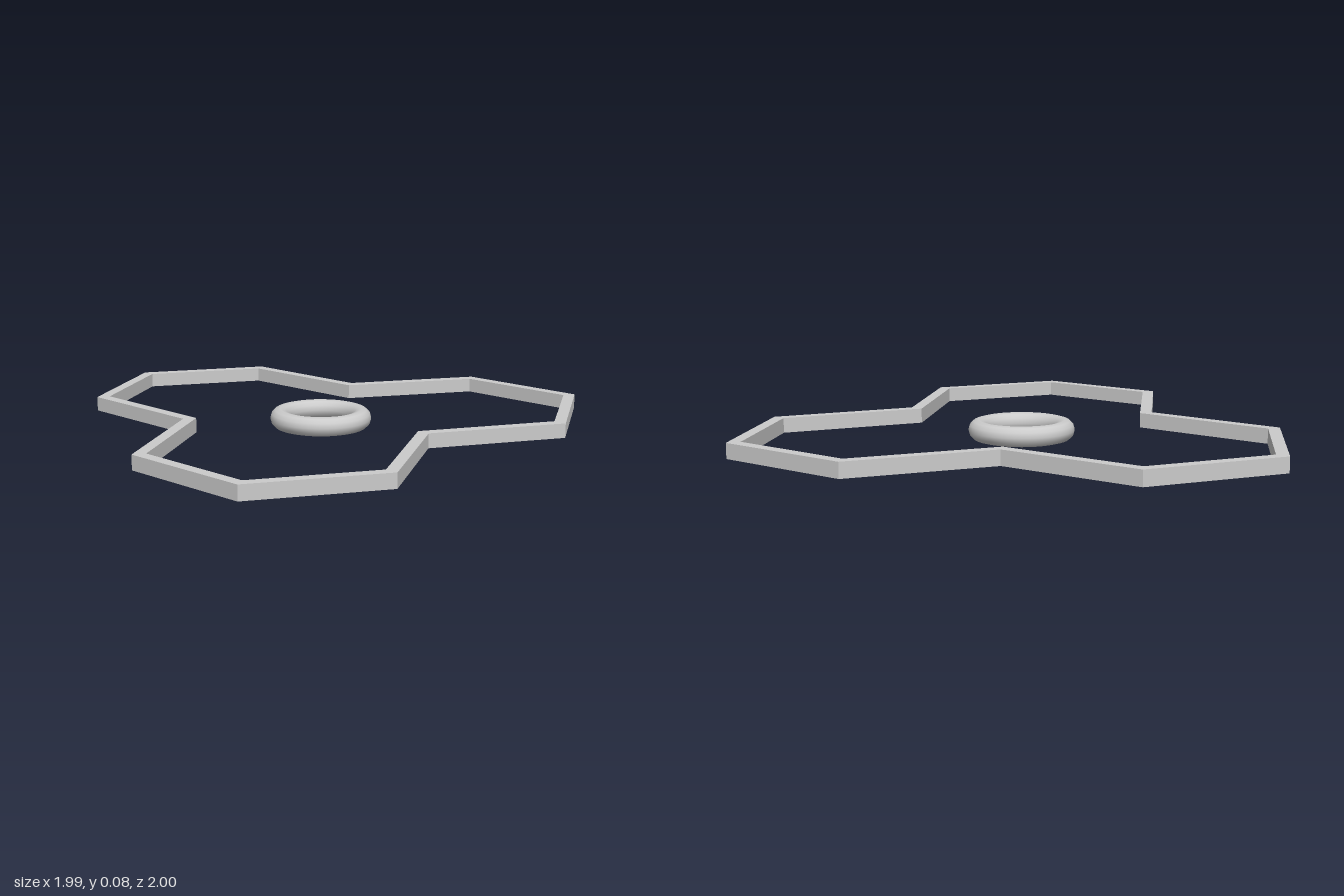
import * as THREE from 'three';

// Half outlines [x, z] from the back notch round to the front tip
const OUTER = [[0, -0.721], [0.506, -1], [0.994, -0.721], [0.994, -0.157], [0.497, 0.141], [0.486, 0.721], [0, 1]];
const INNER = [[0, -0.668], [0.506, -0.947], [0.948, -0.694], [0.948, -0.184], [0.451, 0.114], [0.44, 0.694], [0, 0.947]];

// Mirror a half outline into a closed loop, with z turned into shape y
function mirrored(half) {
  const left = half.slice(1, -1).reverse().map(([x, z]) => [-x, z]);
  return [...half, ...left].map(([x, z]) => new THREE.Vector2(x, -z));
}

export function createModel() {
  const group = new THREE.Group();
  const material = new THREE.MeshStandardMaterial({ color: 0xcccccc });

  // Thin three-lobed frame; the hole runs opposite to the outline so its walls face inwards
  const outline = new THREE.Shape(mirrored(OUTER));
  outline.holes.push(new THREE.Path(mirrored(INNER).reverse()));
  const frameGeometry = new THREE.ExtrudeGeometry(outline, { depth: 0.059, bevelEnabled: false });
  frameGeometry.rotateX(-Math.PI / 2);
  const frame = new THREE.Mesh(frameGeometry, material);
  frame.name = 'frame';
  frame.position.y = 0.011;
  group.add(frame);

  // Round ring at the meeting point of the lobes
  const ringGeometry = new THREE.TorusGeometry(0.168, 0.04, 12, 48);
  ringGeometry.rotateX(-Math.PI / 2);
  const ring = new THREE.Mesh(ringGeometry, material);
  ring.name = 'centreRing';
  ring.position.set(0, 0.04, -0.146);
  group.add(ring);

  return group;
}
